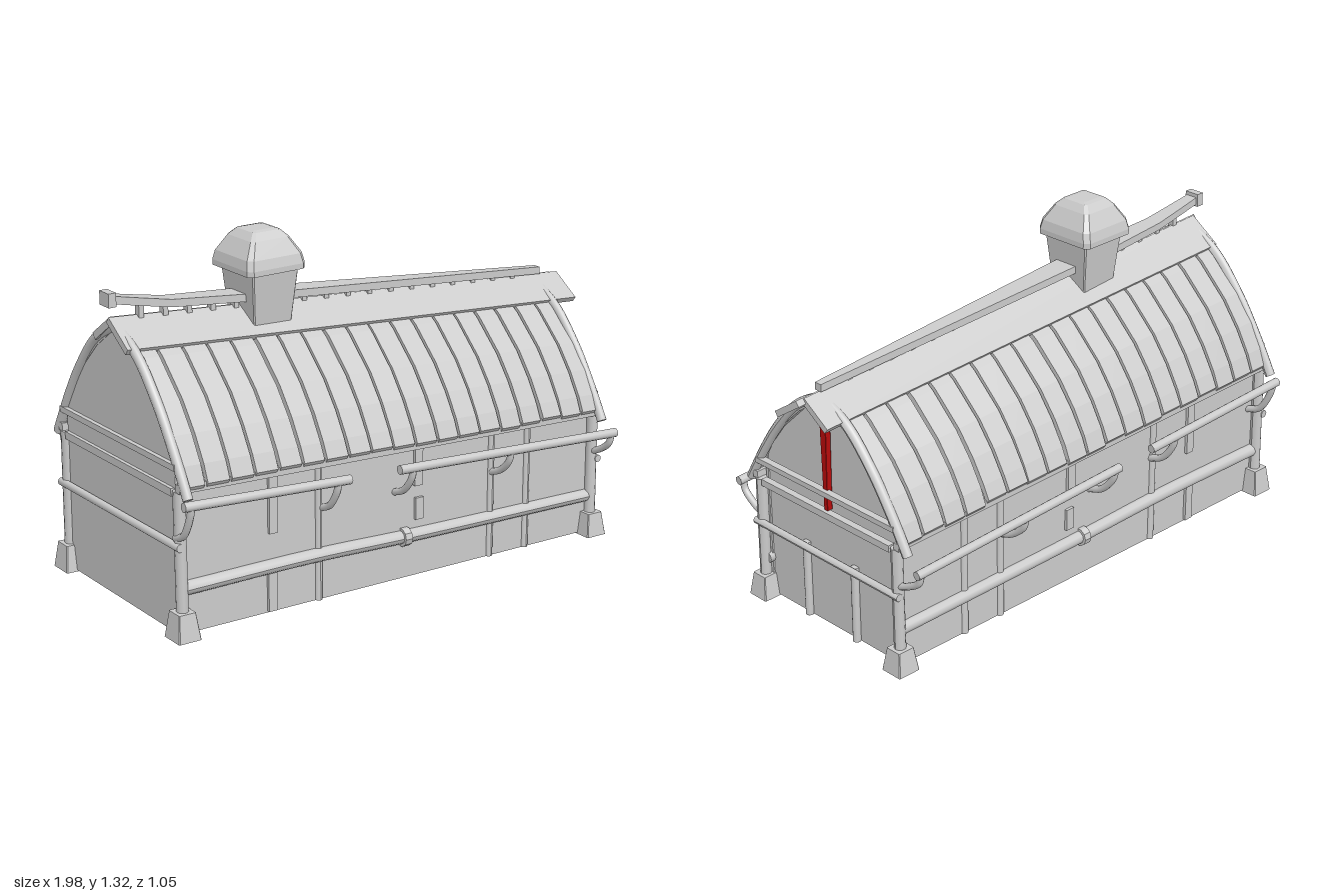
import * as THREE from 'three';

const grey = new THREE.MeshStandardMaterial({ color: 0xcccccc, flatShading: true, side: THREE.DoubleSide });
const round = new THREE.MeshStandardMaterial({ color: 0xcccccc, side: THREE.DoubleSide });
const red = new THREE.MeshStandardMaterial({ color: 0xb80c0c, flatShading: true, side: THREE.DoubleSide });
const XL = -0.94, XR = 0.88;
const V = (x, y, z) => new THREE.Vector3(x, y, z);

// Leans the straight barn: it sags to one end and is slightly turned
const lean = (p) => p.set(p.x,
  0.028 - 0.021 * p.x + p.y * (1.05 - 0.054 * p.x),
  0.007 + 0.037 * p.x + p.z * (1.03 - 0.03 * p.x));

function leanGeometry(geo) {
  const a = geo.attributes.position, p = V(0, 0, 0);
  for (let i = 0; i < a.count; i++) {
    lean(p.fromBufferAttribute(a, i));
    a.setXYZ(i, p.x, p.y, p.z);
  }
  geo.computeVertexNormals();
  return geo;
}

const box = (w, h, d, x, y, z) => new THREE.BoxGeometry(w, h, d).translate(x, y, z);

// Round pole through points, with closed ends
function pole(points, r, group, name, leaning = true) {
  const curve = new THREE.CatmullRomCurve3(points);
  const n = points.length > 2 ? points.length * 4 : 1;
  const pts = curve.getPoints(n);
  const part = new THREE.Group();
  part.name = name;
  const tube = new THREE.TubeGeometry(curve, n, r, 10);
  part.add(new THREE.Mesh(leaning ? leanGeometry(tube) : tube, round));
  [[pts[0], pts[1]], [pts[n], pts[n - 1]]].forEach(([end, inner]) => {
    const cap = new THREE.CircleGeometry(r, 10);
    const dir = end.clone().sub(inner).normalize();
    cap.applyQuaternion(new THREE.Quaternion().setFromUnitVectors(V(0, 0, 1), dir));
    cap.translate(end.x, end.y, end.z);
    part.add(new THREE.Mesh(leaning ? leanGeometry(cap) : cap, round));
  });
  group.add(part);
}

// Curved board: a (z, y) profile thickened downwards and extruded along x
function board(profile, thick, width, x) {
  const inner = profile.map(([z, y]) => [z - Math.sign(z) * thick * 0.6, y - thick * 0.8]).reverse();
  const shape = new THREE.Shape([...profile, ...inner].map(([z, y]) => new THREE.Vector2(z, y)));
  return new THREE.ExtrudeGeometry(shape, { depth: width, bevelEnabled: false })
    .translate(0, 0, -width / 2).rotateY(-Math.PI / 2).translate(x, 0, 0);
}

// Square prism with a different half size (x, z) at each height
function squareLoft(rings, bevel) {
  const pos = [], idx = [];
  rings.forEach(([y, hx, hz]) => {
    const b = bevel * hx;
    [[hx, hz - b], [hx - b, hz], [b - hx, hz], [-hx, hz - b], [-hx, b - hz], [b - hx, -hz], [hx - b, -hz], [hx, b - hz]]
      .forEach(([x, z]) => pos.push(x, y, z));
  });
  for (let r = 0; r < rings.length - 1; r++) for (let i = 0; i < 8; i++) {
    const a = r * 8 + i, b = r * 8 + (i + 1) % 8;
    idx.push(a, a + 8, b, b, a + 8, b + 8);
  }
  const t = (rings.length - 1) * 8;
  for (let i = 1; i < 7; i++) idx.push(0, i, i + 1, t, t + i + 1, t + i);
  const geo = new THREE.BufferGeometry();
  geo.setAttribute('position', new THREE.Float32BufferAttribute(pos, 3));
  geo.setIndex(idx);
  geo.computeVertexNormals();
  return geo;
}

export function createModel() {
  const model = new THREE.Group();
  model.name = 'barn';
  const add = (name, geo, leaning = true, material = grey) => {
    const mesh = new THREE.Mesh(leaning ? leanGeometry(geo) : geo, material);
    mesh.name = name;
    model.add(mesh);
  };
  let seed = 7;
  const rand = () => ((seed = (seed * 16807) % 2147483647) / 2147483647) - 0.5;
  const arch = [[0.41, 0.46], [0.37, 0.53], [0.315, 0.62], [0.245, 0.72], [0.13, 0.845], [0, 0.92]];

  // Long walls, open below
  for (const s of [1, -1]) add('sideWall', box(XR - XL - 0.03, 0.52, 0.012, (XL + XR) / 2, 0.26, s * 0.34));

  for (const [x, out] of [[XR, 1], [XL, -1]]) {
    // Gable wall
    const outline = [[0.34, 0], [0.34, 0.56], ...arch.slice(2), ...arch.slice(2, 5).reverse().map(([z, y]) => [-z, y]), [-0.34, 0.56], [-0.34, 0]];
    const shape = new THREE.Shape(outline.map(([z, y]) => new THREE.Vector2(z, y)));
    add('gableWall', new THREE.ExtrudeGeometry(shape, { depth: 0.012, bevelEnabled: false })
      .rotateY(-Math.PI / 2).translate(x - out * 0.015 + 0.006, 0, 0).translate(-0.012, 0, 0));

    for (const s of [1, -1]) {
      // Corner post, foot and curved gable beam
      pole([V(x, 0.05, s * 0.36), V(x, 0.48, s * 0.355)], 0.021, model, 'cornerPost');
      add('postFoot', squareLoft([[-0.005, 0.045, 0.046], [0.085, 0.033, 0.032]], 0.08).translate(x, 0, s * 0.36));
      pole(arch.map(([z, y]) => V(x, y + 0.005, s * z)), 0.018, model, 'gableBeam');
    }
    // Cross rails and studs of the gable
    pole([V(x + out * 0.015, 0.302, 0.38), V(x + out * 0.015, 0.298, -0.38)], 0.014, model, 'gableLowRail');
    add('gableMidRail', box(0.025, 0.026, 0.67, x + out * 0.005, 0.472, 0));
    add('gableHighRail', box(0.025, 0.02, 0.72, x + out * 0.008, 0.557, 0));
    for (const z of [0.135, -0.12]) pole([V(x - out * 0.012, 0, z), V(x - out * 0.012, 0.3, z)], 0.015, model, 'gableStud');
  }
  // Red centre strut of the right gable
  add('redStrut', squareLoft([[0.485, 0.011, 0.009], [0.91, 0.011, 0.017]], 0.1).translate(XR - 0.006, 0, 0), true, red);

  for (const s of [1, -1]) {
    // Long rail with its middle collar
    pole([V(XL, 0.155, s * 0.35), V(-0.4, 0.163, s * 0.352), V(0, 0.155, s * 0.35), V(XR, 0.15, s * 0.35)], 0.024, model, 'sideRail');
    add('railCollar', new THREE.CylinderGeometry(0.034, 0.034, 0.03, 10).rotateZ(Math.PI / 2).translate(0, 0.155, s * 0.35));
    // Wall studs, standing through the wall, and broken pieces
    for (const x of [-0.37, 0.4, 0.57]) pole([V(x, 0, s * 0.342), V(x, 0.48, s * 0.342)], 0.015, model, 'wallStud');
    for (const [x, y, h] of [[-0.57, 0.08, 0.15], [-0.565, 0.39, 0.23], [0.065, 0.25, 0.08], [0.06, 0.42, 0.17]])
      add('brokenStud', box(0.035, h, 0.03, x, y, s * 0.342));
    add('eaveBeam', box(XR - XL + 0.03, 0.028, 0.025, (XL + XR) / 2, 0.492, s * 0.37));

    // Curved roof planks with narrow gaps
    const count = 19, pitch = (XR - XL + 0.02) / count;
    for (let i = 0; i < count; i++) {
      const drop = rand() * 0.012, skew = rand() * 0.02;
      const profile = [[0.392, 0.505 + drop], [0.368, 0.56], [0.318, 0.645], [0.25, 0.735], [0.135, 0.845], [0.04, 0.91]].map(([z, y]) => [s * z, y]);
      const plank = board(profile, 0.022, pitch - 0.011 + rand() * 0.006, XL + pitch * (i + 0.5) - 0.01);
      const a = plank.attributes.position;
      for (let k = 0; k < a.count; k++) a.setX(k, a.getX(k) + skew * (a.getY(k) - 0.7));
      add('roofPlank', plank);
    }

    // Ridge cover board
    const [x0, x1] = s > 0 ? [-0.97, 0.99] : [-0.96, 0.96];
    add('ridgeBoard', board([[s * 0.118, 0.872], [s * 0.003, 0.95]], 0.024, x1 - x0, (x0 + x1) / 2));
  }

  // Gutter poles along the eaves, each on curved brackets
  const gutters = [
    [V(-0.98, 0.555, 0.44), V(-0.31, 0.51, 0.46), [-0.95, -0.36]],
    [V(-0.1, 0.5, 0.468), V(0.9, 0.44, 0.505), [-0.04, 0.4, 0.88]],
    [V(-0.92, 0.555, -0.51), V(-0.23, 0.51, -0.48), [-0.9, -0.36]],
    [V(-0.06, 0.5, -0.48), V(0.9, 0.435, -0.435), [-0.04, 0.4, 0.88]],
  ];
  for (const [a, b, brackets] of gutters) {
    pole([a, b], 0.017, model, 'gutterPole', false);
    for (const x of brackets) {
      const top = a.clone().lerp(b, (x - a.x) / (b.x - a.x));
      const foot = lean(V(x, 0.325, Math.sign(a.z) * 0.345));
      pole([foot, V(x, foot.y + 0.025, foot.z * 0.5 + top.z * 0.5), V(x, top.y - 0.04, foot.z * 0.08 + top.z * 0.92), top], 0.013, model, 'gutterBracket', false);
    }
  }

  // Ridge beam, broadest beside the vent, on small pegs
  const ridgeY = (x) => 1.052 - 0.086 * x + (x < -0.75 ? (-0.75 - x) * 0.12 : 0);
  const ridgeZ = (x) => 0.01 + 0.035 * x;
  const beam = new THREE.BoxGeometry(1.87, 0.028, 1, 16, 1, 1).translate(-0.04, 0, 0);
  const p = beam.attributes.position;
  for (let i = 0; i < p.count; i++) {
    const x = p.getX(i);
    const width = x > -0.37 ? 0.1 - 0.055 * (x + 0.37) : 0.1 - 0.09 * (-0.37 - x);
    p.setXYZ(i, x, p.getY(i) + ridgeY(x), ridgeZ(x) + p.getZ(i) * width);
  }
  beam.computeVertexNormals();
  add('ridgeBeam', beam, false);
  add('ridgeBeamEnd', box(0.03, 0.05, 0.06, -0.97, ridgeY(-0.97), ridgeZ(-0.97)), false);
  for (let x = -0.85; x < 0.85; x += 0.095)
    add('ridgePeg', box(0.02, 0.07, 0.025, x, ridgeY(x) - 0.035, ridgeZ(x)), false);

  // Roof vent with its faceted cap
  add('ventBody', squareLoft([[0.96, 0.077, 0.078], [1.2, 0.098, 0.104]], 0.05).translate(-0.365, 0, -0.003), false);
  add('ventCap', squareLoft([[1.185, 0.122, 0.127], [1.205, 0.122, 0.127], [1.24, 0.115, 0.118],
    [1.297, 0.08, 0.084], [1.322, 0.056, 0.058], [1.326, 0.04, 0.04]], 0.15).translate(-0.37, 0, -0.003), false);
  return model;
}
